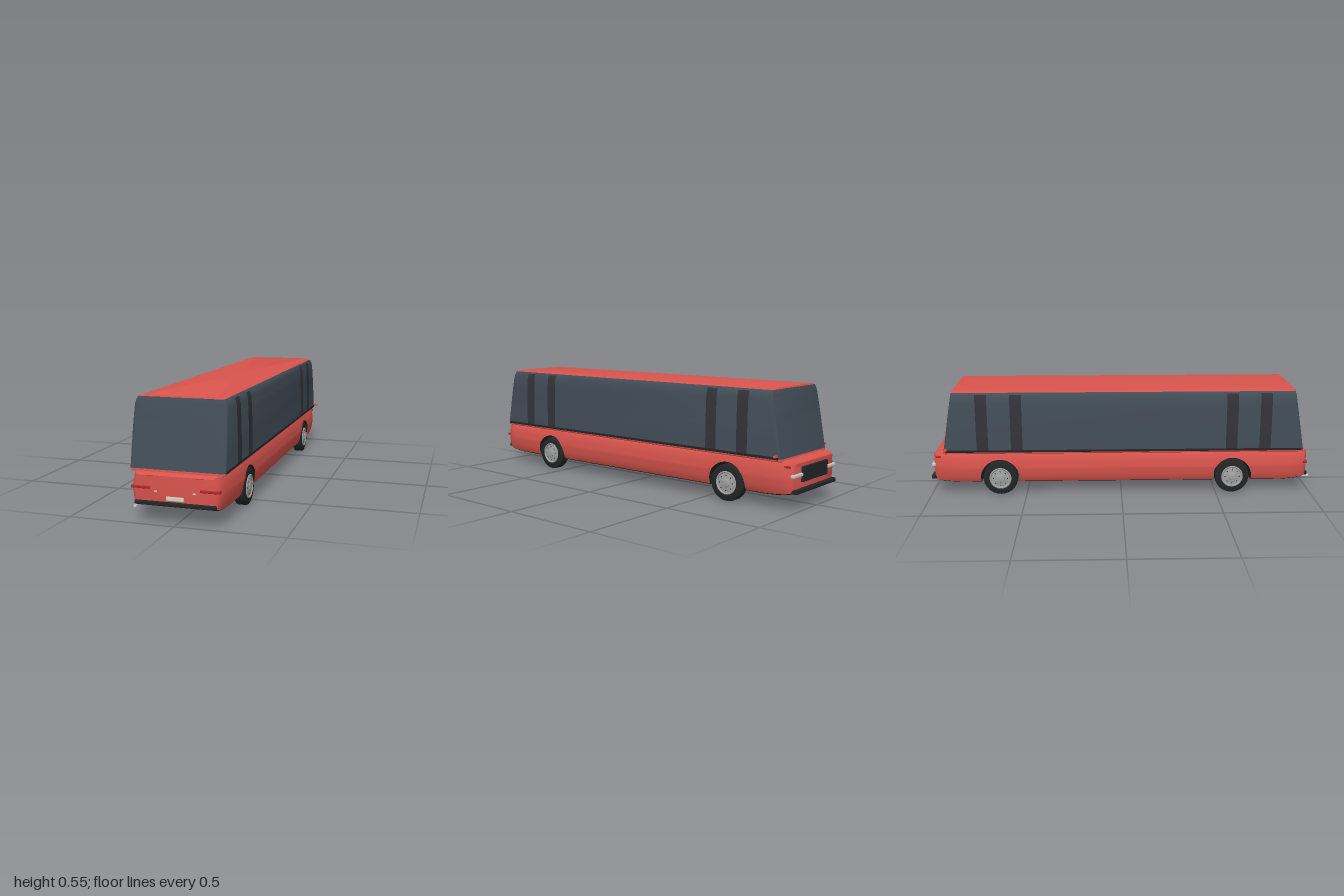
import * as THREE from 'three';
import { mergeVertices, toCreasedNormals } from 'three/addons/utils/BufferGeometryUtils.js';
import { RoundedBoxGeometry } from 'three/addons/geometries/RoundedBoxGeometry.js';

const paint = (color) => new THREE.MeshStandardMaterial({ color });
const RED = paint(0xd9544d), GLASS = paint(0x434e58), DARK = paint(0x242526), PILLAR = paint(0x33333a);
const LAMP = paint(0xb0262a), CHROME = paint(0xcccccc), HUB = paint(0xa2a2a2), PLATE = paint(0xd6d4c0);
const WHEEL_Z = [-0.635, 0.585], WHEEL_Y = 0.09, ARCH = 0.102;

// Linear lookup of column k in a table sorted by its first column
function lookup(table, v, k) {
  if (v <= table[0][0]) return table[0][k];
  for (let i = 1; i < table.length; i++) {
    const a = table[i - 1], b = table[i];
    if (v <= b[0]) return a[k] + (b[k] - a[k]) * (v - a[0]) / (b[0] - a[0]);
  }
  return table[table.length - 1][k];
}

// Skin over equal-length rings of [x, y, z], counter-clockwise seen from the last ring
function loft(rings, { closed = false, capStart = false, capEnd = false, crease = 0.6 } = {}) {
  const n = rings[0].length, pos = rings.flat(2), idx = [];
  for (let i = 0; i < rings.length - 1; i++) {
    for (let j = 0; j < (closed ? n : n - 1); j++) {
      const a = i * n + j, b = i * n + (j + 1) % n;
      idx.push(a, b, b + n, a, b + n, a + n);
    }
  }
  const cap = (start, flip) => {
    const c = [0, 1, 2].map((k) => rings[start / n].reduce((s, p) => s + p[k], 0) / n);
    const id = pos.length / 3;
    pos.push(...c);
    for (let j = 0; j < n; j++) {
      const a = start + j, b = start + (j + 1) % n;
      idx.push(id, flip ? b : a, flip ? a : b);
    }
  };
  if (capStart) cap(0, true);
  if (capEnd) cap((rings.length - 1) * n, false);
  const geo = new THREE.BufferGeometry();
  geo.setAttribute('position', new THREE.Float32BufferAttribute(pos, 3));
  geo.setIndex(idx);
  return toCreasedNormals(mergeVertices(geo), crease);
}

// Lower body: [height, half width] and [distance from middle, width scale, top, bottom]
const SIDE = [[0.065, 0.2], [0.08, 0.209], [0.11, 0.217], [0.15, 0.222], [0.19, 0.217], [0.215, 0.21], [0.226, 0.205], [0.232, 0.197]];
const ENDS = [[0, 1, 0.232, 0.07], [0.84, 1, 0.232, 0.07], [0.9, 0.98, 0.23, 0.073], [0.945, 0.945, 0.228, 0.078],
  [0.965, 0.915, 0.226, 0.082], [0.975, 0.885, 0.223, 0.086], [0.981, 0.84, 0.216, 0.095]];

function bodyStations() {
  const list = [];
  for (const e of ENDS.slice(1)) list.push([e[0], e[3]], [-e[0], e[3]]);
  list.sort((a, b) => a[0] - b[0]);
  const arches = WHEEL_Z.flatMap((zc) => {
    const pts = [[zc - ARCH, 0.07]];
    for (let i = 0; i <= 20; i++) {
      const a = Math.PI * (1 - i / 20);
      pts.push([zc + ARCH * Math.cos(a), WHEEL_Y + ARCH * Math.sin(a)]);
    }
    return [...pts, [zc + ARCH, 0.07]];
  });
  const half = list.length / 2;
  return [...list.slice(0, half), ...arches, ...list.slice(half)];
}

function bodyRing([z, bottom]) {
  const scale = lookup(ENDS, Math.abs(z), 1), top = lookup(ENDS, Math.abs(z), 2), right = [];
  for (let i = 0; i <= 12; i++) {
    const y = bottom + (top - bottom) * i / 12;
    right.push([lookup(SIDE, y, 1) * scale, y, z]);
  }
  return [...right, ...right.map(([x, y]) => [-x, y, z]).reverse()];
}

// Upper cabin: [height, half width]; the ends lean inwards
const CABIN = [[0.236, 0.221], [0.3, 0.2205], [0.4, 0.219], [0.46, 0.217], [0.505, 0.215], [0.525, 0.211], [0.538, 0.206], [0.547, 0.198]];
const ROOF = [[0.547, 0.198], [0.551, 0.185], [0.5535, 0.165]];

function cabinRing([y, w], grow = 0) {
  const lean = 0.055 * (y - 0.236) / 0.318, r = 0.012, ring = [];
  const hx = w + grow, front = 0.955 - lean + grow, back = -0.925 + lean - grow;
  const corners = [[hx - r, front - r, -90], [hx - r, back + r, 0], [r - hx, back + r, 90], [r - hx, front - r, 180]];
  for (const [x, z, start] of corners) {
    for (let i = 0; i <= 4; i++) {
      const a = THREE.MathUtils.degToRad(start + i * 22.5);
      ring.push([x + r * Math.cos(a), y, z - r * Math.sin(a)]);
    }
  }
  return ring;
}

function makeWheel() {
  const wheel = new THREE.Group();
  // Profiles are [radius, distance along the axle]
  const turn = (name, profile, mat) => {
    const geo = new THREE.LatheGeometry(profile.map(([r, h]) => new THREE.Vector2(r, h)), 40);
    const mesh = new THREE.Mesh(toCreasedNormals(geo.rotateZ(-Math.PI / 2), 0.5), mat);
    mesh.name = name;
    wheel.add(mesh);
  };
  turn('tyre', [[0, -0.026], [0.082, -0.026], [0.088, -0.023], [0.09, -0.016], [0.09, 0.016], [0.088, 0.023], [0.082, 0.026], [0.056, 0.026], [0, 0.022]], DARK);
  turn('hubcap', [[0.057, 0.022], [0.057, 0.029], [0.052, 0.031], [0.047, 0.026], [0.03, 0.029], [0.021, 0.03], [0.019, 0.033], [0.012, 0.035], [0, 0.035]], HUB);
  // Wheel nuts
  for (let i = 0; i < 8; i++) {
    const a = i * Math.PI / 4;
    const nut = new THREE.Mesh(new THREE.CylinderGeometry(0.003, 0.003, 0.006, 6).rotateZ(Math.PI / 2), DARK);
    nut.position.set(0.0265, 0.037 * Math.cos(a), 0.037 * Math.sin(a));
    nut.name = 'wheelNut';
    wheel.add(nut);
  }
  return wheel;
}

export function createModel() {
  const bus = new THREE.Group();
  bus.name = 'bus';
  const add = (name, geo, mat, x = 0, y = 0, z = 0) => {
    const mesh = new THREE.Mesh(geo, mat);
    mesh.name = name;
    mesh.position.set(x, y, z);
    bus.add(mesh);
    return mesh;
  };
  const box = (name, w, h, d, mat, x, y, z) =>
    add(name, new RoundedBoxGeometry(w, h, d, 2, Math.min(w, h, d) * 0.25), mat, x, y, z);

  // Lower body with wheel arches cut through
  const rings = bodyStations().map(bodyRing);
  add('lowerBody', loft(rings, { closed: false, capStart: true, capEnd: true }), RED);

  // Underside and wheel wells, with a dark sill along the edge
  const floor = rings.map((ring) => {
    const [x, y, z] = ring[0];
    return [[-x, y, z], [0.008 - x, y - 0.005, z], [x - 0.008, y - 0.005, z], [x, y, z]];
  });
  add('underside', loft(floor, { capStart: true, capEnd: true }), DARK);

  // Cabin glass, roof, and the rim below the glass
  add('cabinGlass', loft(CABIN.map((p) => cabinRing(p)), { closed: true, crease: 0.9 }), GLASS);
  add('roof', loft(ROOF.map((p) => cabinRing(p)), { closed: true, capEnd: true }), RED);
  const rim = [[0.224, 0.212], [0.228, 0.2185], [0.234, 0.2195], [0.236, 0.217]];
  add('cabinRim', loft(rim.map((p) => cabinRing(p)), { closed: true, capStart: true, capEnd: true }), RED);

  for (const side of [1, -1]) {
    // Window pillars that follow the glass
    for (const z of [0.75, 0.575, -0.543, -0.72]) {
      const strip = CABIN.slice(0, 7).map(([y, w]) => [[w + 0.001, y, z + 0.03], [w + 0.001, y, z - 0.03]]);
      add('windowPillar', loft(strip), PILLAR).scale.x = side;
    }
    box('beltTrim', 0.006, 0.012, 1.86, DARK, side * 0.2195, 0.24, 0.015);
    box('mirror', 0.026, 0.012, 0.012, RED, side * 0.233, 0.251, -0.91);

    // Wheels
    for (const z of WHEEL_Z) {
      const wheel = makeWheel();
      wheel.name = 'wheel';
      wheel.position.set(side * 0.191, WHEEL_Y, z);
      if (side < 0) wheel.rotation.y = Math.PI;
      bus.add(wheel);
    }

    // Lamps and small fittings on both ends
    box('tailLamp', 0.089, 0.012, 0.022, LAMP, side * 0.16, 0.161, 0.974);
    box('handle', 0.014, 0.006, 0.008, CHROME, side * 0.089, 0.147, 0.983);
    box('lidSeam', 0.034, 0.002, 0.004, LAMP, side * 0.115, 0.2145, 0.98);
    box('headlampBar', 0.085, 0.016, 0.02, CHROME, side * 0.16, 0.163, -0.981);
    box('sideLamp', 0.012, 0.01, 0.03, LAMP, side * 0.2, 0.205, -0.955);
  }

  // Bumpers, grille, plate and exhaust
  box('frontBumper', 0.374, 0.019, 0.026, DARK, 0, 0.093, 0.978);
  box('backBumper', 0.38, 0.02, 0.03, DARK, 0, 0.09, -0.985);
  box('grille', 0.24, 0.072, 0.016, DARK, 0, 0.163, -0.983);
  box('numberPlate', 0.081, 0.018, 0.006, PLATE, 0, 0.118, 0.983);
  add('exhaust', new THREE.CylinderGeometry(0.007, 0.007, 0.08, 16).rotateX(Math.PI / 2), CHROME, -0.18, 0.079, 0.96);
  return bus;
}
